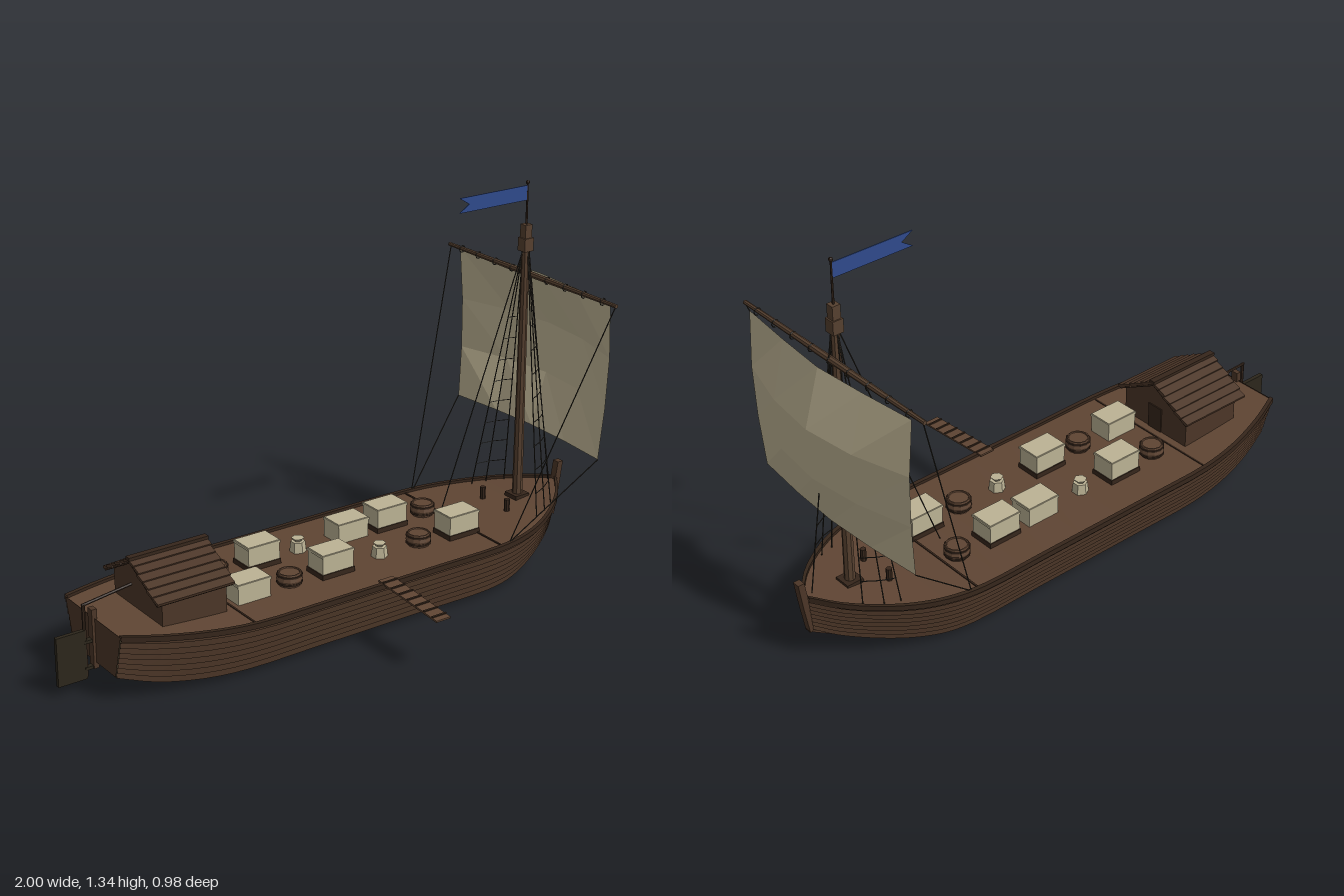
import * as THREE from 'three';
import { mergeGeometries } from 'three/addons/utils/BufferGeometryUtils.js';

const V = (x, y, z) => new THREE.Vector3(x, y, z);
const mat = (name, color, side = THREE.FrontSide) =>
  Object.assign(new THREE.MeshStandardMaterial({ color, side, flatShading: true }), { name });

// Surface through rows of points
function loft(rows) {
  const n = rows[0].length, pos = [], idx = [];
  rows.forEach(r => r.forEach(p => pos.push(p.x, p.y, p.z)));
  for (let i = 0; i < rows.length - 1; i++) for (let j = 0; j < n - 1; j++) {
    const a = i * n + j, b = a + n;
    idx.push(a, b, a + 1, b, b + 1, a + 1);
  }
  const g = new THREE.BufferGeometry();
  g.setAttribute('position', new THREE.Float32BufferAttribute(pos, 3));
  g.setIndex(idx);
  g.computeVertexNormals();
  return g;
}

// Round bar between two points
function bar(p, q, r, sides = 5, r2 = r) {
  const d = q.clone().sub(p);
  const g = new THREE.CylinderGeometry(r2, r, d.length(), sides);
  g.applyQuaternion(new THREE.Quaternion().setFromUnitVectors(V(0, 1, 0), d.normalize()));
  return g.translate((p.x + q.x) / 2, (p.y + q.y) / 2, (p.z + q.z) / 2);
}

const box = (w, h, d, x, y, z) => new THREE.BoxGeometry(w, h, d).translate(x, y, z);
const cyl = (r1, r2, h, n, x, y, z) => new THREE.CylinderGeometry(r1, r2, h, n).translate(x, y, z);

// Flat outline in the x-y plane with thickness centred on z = 0
function plate(points, depth) {
  const s = new THREE.Shape(points.map(p => new THREE.Vector2(...p)));
  return new THREE.ExtrudeGeometry(s, { depth, bevelEnabled: false }).translate(0, 0, -depth / 2);
}

export function createModel() {
  const root = new THREE.Group();
  const ship = new THREE.Group();
  ship.name = 'barge';
  ship.position.z = -0.065;
  root.add(ship);

  const M = {
    hull: mat('hull wood', 0x4c3627, THREE.DoubleSide),
    deck: mat('deck wood', 0x5f4533, THREE.DoubleSide),
    dark: mat('dark wood', 0x36261b, THREE.DoubleSide),
    tar: mat('tarred wood', 0x2c261b, THREE.DoubleSide),
    spar: mat('spar wood', 0x56402f),
    canvas: mat('canvas', 0xc2b797, THREE.DoubleSide),
    cargo: mat('cargo cloth', 0xbcb395),
    rope: mat('rope', 0x2e2a23),
    flag: mat('pennant blue', 0x2f4a8c, THREE.DoubleSide),
  };
  const add = (name, material, ...geos) => {
    const m = new THREE.Mesh(geos.length > 1 ? mergeGeometries(geos) : geos[0], material);
    m.name = name;
    ship.add(m);
    return m;
  };

  // Hull stations: x, sheer half width, sheer height, chine half width, chine height
  const stations = [
    [-0.87, .17, .235, .13, .085], [-0.75, .217, .222, .165, .05], [-0.6, .258, .21, .195, .028],
    [-0.45, .277, .202, .209, .02], [-0.2, .278, .2, .21, .02], [0.25, .278, .2, .21, .02],
    [0.5, .277, .2, .209, .02], [0.6, .264, .203, .195, .025], [0.7, .232, .208, .163, .04],
    [0.8, .178, .217, .118, .064], [0.9, .098, .229, .056, .092], [0.97, .012, .24, .008, .115],
  ];
  const sheerCurve = new THREE.CatmullRomCurve3(stations.map(s => V(s[0], s[2], s[1])));
  const chineCurve = new THREE.CatmullRomCurve3(stations.map(s => V(s[0] - (s[0] > .95 ? .012 : 0), s[4], s[3])));
  const N = (stations.length - 1) * 3;
  const sheer = [], chine = [];
  for (let i = 0; i <= N; i++) {
    sheer.push(sheerCurve.getPoint(i / N));
    chine.push(chineCurve.getPoint(i / N));
  }
  const flip = (p, s) => V(p.x, p.y, p.z * s);

  // Overlapping strakes with dark laps beneath
  const strakes = [], laps = [], rails = [];
  const K = 8;
  for (const s of [1, -1]) {
    const line = (t, out) => sheer.map((p, i) => {
      const q = chine[i].clone().lerp(p, t);
      q.z += out;
      return flip(q, s);
    });
    const skin = (a, b) => loft(s > 0 ? [b, a] : [a, b]);
    for (let k = 0; k < K; k++) {
      strakes.push(skin(line(k / K, .007), line((k + 1) / K, 0)));
      laps.push(skin(line(k / K, 0), line(k / K, .007)));
    }
    // Gunwale section swept along the sheer
    const edge = (dy, dz) => sheer.map(p => V(p.x, p.y + dy, Math.max(p.z + dz, 0) * s));
    const ring = [edge(-.012, .007), edge(.006, .007), edge(.006, -.008), edge(-.012, -.008)];
    rails.push(loft(s > 0 ? ring.reverse() : ring));
  }
  add('hullStrakes', M.hull, ...strakes);
  add('strakeLaps', M.dark, ...laps);
  add('gunwales', M.dark, ...rails);
  add('hullBottom', M.tar, loft([chine, chine.map(p => flip(p, -1))]));
  const deckEdge = sheer.map(p => V(p.x, p.y - .004, Math.max(p.z - .004, 0)));
  add('deck', M.deck, loft([deckEdge.map(p => flip(p, -1)), deckEdge]));
  add('transom', M.hull, loft([[sheer[0], chine[0]], [flip(sheer[0], -1), flip(chine[0], -1)]]));
  add('deckSeams', M.dark, box(.006, .004, .53, .52, .198, 0), box(.006, .004, .53, -.45, .199, 0));

  // Keel, stem and stern post
  add('keel', M.hull, plate([[-.875, .085], [-.74, 0], [.8, 0], [.97, .11], [.96, .13],
    [.79, .02], [-.735, .02], [-.865, .105]], .02));
  add('stem', M.hull, plate([[.945, .12], [.968, .105], [.985, .2], [1, .3], [.978, .3], [.965, .22]], .026));
  add('sternPost', M.hull, box(.018, .2, .026, -.87, .165, 0));

  // Rudder and tiller
  add('rudder', M.tar, box(.1, .165, .014, -.95, .118, 0));
  add('rudderHinges', M.tar, box(.035, .01, .018, -.888, .07, 0), box(.035, .01, .018, -.888, .16, 0));
  add('tiller', M.dark, bar(V(-.9, .04, 0), V(-.9, .285, 0), .006, 6),
    bar(V(-.905, .283, 0), V(-.72, .296, -.02), .005, 6));

  // Cabin with gabled end walls
  const walls = plate([[-.145, .19], [.145, .19], [.145, .3], [0, .378], [-.145, .3]], .23);
  add('cabinWalls', M.hull, walls.rotateY(Math.PI / 2).translate(-.595, 0, 0));
  const roof = [], roofGaps = [];
  const slope = Math.atan2(.09, .165);
  for (const s of [1, -1]) {
    for (let i = 0; i < 6; i++) {
      const t = (i + .5) / 6;
      const g = new THREE.BoxGeometry(.28 - (i % 2) * .006, .01, .035);
      g.rotateX(s * (slope - .16)).translate(-.6, .39 - .092 * t, s * .163 * t);
      roof.push(g);
    }
    roofGaps.push(new THREE.BoxGeometry(.27, .006, .18).rotateX(s * slope).translate(-.6, .336, s * .08));
  }
  add('roofPlanks', M.hull, ...roof);
  add('roofLining', M.dark, ...roofGaps);
  add('roofRidge', M.dark, box(.284, .012, .022, -.6, .393, 0));
  add('cabinDoor', M.dark, box(.006, .09, .06, -.479, .245, 0));

  // Cargo in two rows: crates, barrels and sacks
  const rows = [
    { z: -.097, items: 'BCSCCB', top: [0, .28, 0, .268, .28, 0] },
    { z: .09, items: 'CBCSBC', top: [.268, 0, .28, 0, 0, .28] },
  ];
  const xs = [-.37, -.21, -.05, .145, .305, .465];
  const crates = [], lids = [], pallets = [], sacks = [], barrels = [], hoops = [];
  for (const { z, items, top } of rows) xs.forEach((x, i) => {
    if (items[i] === 'C') {
      const base = top[i] > .27 ? .212 : .198;
      crates.push(box(.12, top[i] - base, .085, x, (top[i] + base) / 2, z));
      lids.push(box(.125, .008, .09, x, top[i] - .006, z));
      if (base > .2) pallets.push(box(.126, .018, .092, x, .204, z));
    } else if (items[i] === 'B') {
      const pts = [[0, .196], [.036, .196], [.043, .217], [.037, .24], [.033, .24], [.032, .236], [0, .236]];
      barrels.push(new THREE.LatheGeometry(pts.map(p => new THREE.Vector2(...p)), 12).translate(x, 0, z));
      for (const y of [.207, .231]) hoops.push(cyl(.0425, .0425, .006, 12, x, y, z));
    } else {
      sacks.push(cyl(.024, .028, .036, 6, x, .214, z), cyl(.022, .012, .012, 6, x, .238, z));
    }
  });
  add('crates', M.cargo, ...crates);
  add('crateLids', M.cargo, ...lids);
  add('pallets', M.dark, ...pallets);
  add('sacks', M.cargo, ...sacks);
  add('barrels', M.deck, ...barrels);
  add('barrelHoops', M.dark, ...hoops);

  // Gangplank with cleats
  const plank = [box(.055, .006, .3, 0, 0, 0)];
  const cleats = [];
  for (let i = -3; i <= 3; i++) cleats.push(box(.055, .004, .006, 0, .005, i * .042));
  for (const m of [add('gangplank', M.deck, ...plank), add('gangplankCleats', M.dark, ...cleats)]) {
    m.position.set(.047, .195, .405);
    m.rotation.x = .07;
  }

  // Mast, masthead, bitts and yard
  add('mast', M.spar, cyl(.013, .018, .95, 8, .805, .665, 0));
  add('masthead', M.spar, box(.037, .045, .037, .805, 1.12, 0), box(.028, .05, .028, .805, 1.163, 0));
  add('mastFoot', M.dark, box(.06, .02, .06, .805, .215, 0));
  add('flagPole', M.dark, cyl(.003, .004, .15, 6, .805, 1.255, 0), new THREE.SphereGeometry(.007, 8, 6).translate(.805, 1.33, 0));
  add('pennant', M.flag, plate([[.803, 1.27], [.803, 1.32], [.52, 1.32], [.56, 1.295], [.52, 1.27]], .003));
  add('bitts', M.dark, ...[-.065, .065].map(z => cyl(.01, .01, .045, 8, .705, .225, z)));
  add('yard', M.spar, bar(V(.825, 1.013, 0), V(.825, 1.013, .427), .011, 8, .007),
    bar(V(.825, 1.013, 0), V(.825, 1.013, -.427), .011, 8, .007));

  // Billowing sail: half width, height, then x at edge, quarter and centre
  const sailRows = [[.385, 1.008, .838, .858, .872], [.381, .82, .85, .905, .926],
    [.375, .645, .846, .895, .916], [.368, .465, .832, .85, .858]];
  add('sail', M.canvas, loft(sailRows.map(([w, y, a, b, c]) =>
    [[-1, a], [-.49, b], [0, c], [.49, b], [1, a]].map(([f, x]) => V(x, y, -f * w)))).toNonIndexed());
  const ties = [];
  for (let i = -4; i <= 4; i++)
    ties.push(new THREE.TorusGeometry(.012, .002, 4, 8).translate(.827, 1.011, i * .09));
  add('sailTies', M.rope, ...ties);

  // Stays, braces, sheets, shrouds and ratlines
  const ropes = [bar(V(.805, 1.13, 0), V(.455, .2, 0), .002), bar(V(.82, 1.1, 0), V(.945, .24, 0), .002)];
  const rungs = [];
  for (const s of [1, -1]) {
    ropes.push(bar(V(.825, 1.005, s * .42), V(.55, .205, s * .268), .002));
    ropes.push(bar(V(.832, .465, s * .368), V(.555, .205, s * .266), .002));
    const head = V(.805, 1.1, s * .012);
    const feet = [V(.745, .21, s * .175), V(.795, .215, s * .158), V(.85, .22, s * .125)];
    feet.forEach(f => ropes.push(bar(f, head, .002)));
    for (let i = 1; i < 9; i++) for (let j = 0; j < 2; j++)
      rungs.push(bar(feet[j].clone().lerp(head, i * .09), feet[j + 1].clone().lerp(head, i * .09), .0016, 4));
  }
  add('rigging', M.rope, ...ropes);
  add('ratlines', M.rope, ...rungs);
  return root;
}
